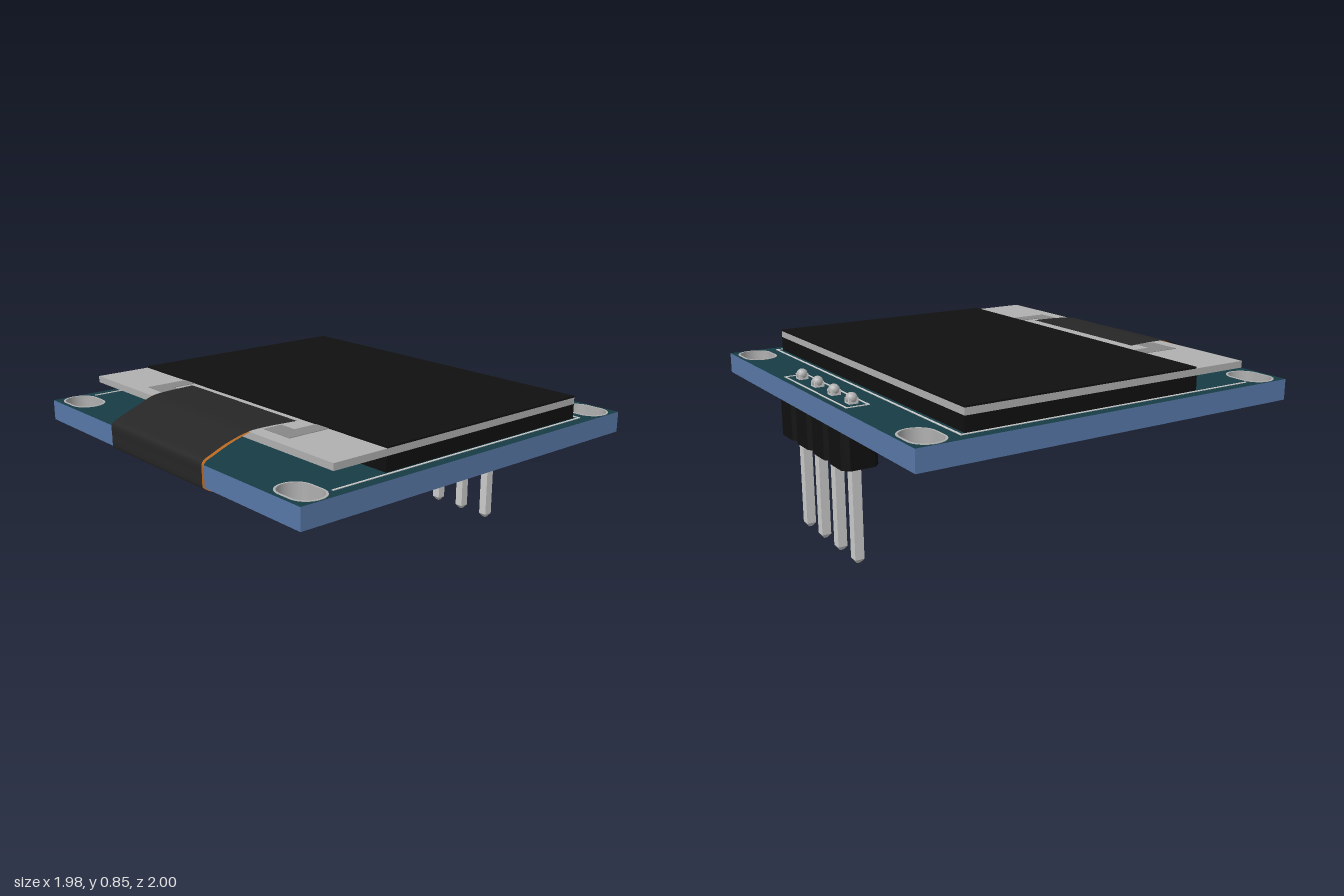
import * as THREE from 'three';

const mat = (color, extra = {}) => new THREE.MeshStandardMaterial({ color, ...extra });
const GREY = mat(0xcccccc), SILVER = mat(0xb0b0b0), BLACK = mat(0x101010), TEAL = mat(0x163c45);
const BLUE = mat(0x5878a8), ORANGE = mat(0xb5651d), TRACE = mat(0x888888);

function add(parent, name, geometry, material) {
  const mesh = new THREE.Mesh(geometry, material);
  mesh.name = name;
  parent.add(mesh);
  return mesh;
}

// Box given by its lower and upper limits
function box(parent, name, material, x0, x1, y0, y1, z0, z1) {
  const m = add(parent, name, new THREE.BoxGeometry(x1 - x0, y1 - y0, z1 - z0), material);
  m.position.set((x0 + x1) / 2, (y0 + y1) / 2, (z0 + z1) / 2);
  return m;
}

// Slot outline: two half circles joined by straight sides
function slot(path, cx, cy, hx, r) {
  path.absarc(cx + hx - r, cy, r, -Math.PI / 2, Math.PI / 2, false);
  path.absarc(cx - hx + r, cy, r, Math.PI / 2, Math.PI * 1.5, false);
  path.closePath();
  return path;
}

// Extrude a plan shape (drawn in x, -z) between two heights
function plate(parent, name, shape, y0, y1, material) {
  const g = new THREE.ExtrudeGeometry(shape, { depth: y1 - y0, bevelEnabled: false, curveSegments: 16 });
  g.rotateX(-Math.PI / 2);
  g.translate(0, y0, 0);
  return add(parent, name, g, material);
}

// Ribbon swept along points of (half width, y, z)
function ribbon(parent, name, points, material, extraWidth = 0) {
  const rows = new THREE.CatmullRomCurve3(points.map(p => new THREE.Vector3(...p))).getPoints(48);
  const pos = [], index = [], cols = 2;
  rows.forEach((p, i) => {
    for (let j = 0; j <= cols; j++) pos.push(-0.008 + (p.x + extraWidth) * (2 * j / cols - 1), p.y, p.z);
    if (i === 0) return;
    for (let j = 0; j < cols; j++) {
      const a = (i - 1) * (cols + 1) + j, b = a + cols + 1;
      index.push(a, b, b + 1, a, b + 1, a + 1);
    }
  });
  const g = new THREE.BufferGeometry();
  g.setAttribute('position', new THREE.Float32BufferAttribute(pos, 3));
  g.setIndex(index);
  g.computeVertexNormals();
  return add(parent, name, g, material);
}

export function createModel() {
  const root = new THREE.Group();
  root.name = 'displayModule';
  const group = name => {
    const g = new THREE.Group();
    g.name = name;
    root.add(g);
    return g;
  };

  // Circuit board with four slotted, metal-lined holes
  const board = group('circuitBoard');
  const outline = new THREE.Shape();
  outline.moveTo(-0.99, -0.985).lineTo(0.99, -0.985).lineTo(0.99, 1).lineTo(-0.99, 1).closePath();
  for (const sx of [-1, 1]) for (const z of [-0.9, 0.88]) {
    outline.holes.push(slot(new THREE.Path(), sx * 0.863, -z, 0.12, 0.085));
    const ring = slot(new THREE.Shape(), sx * 0.863, -z, 0.12, 0.085);
    ring.holes.push(slot(new THREE.Path(), sx * 0.863, -z, 0.11, 0.075));
    plate(board, 'holeLining', ring, 0.638, 0.742, SILVER);
  }
  plate(board, 'boardPlate', outline, 0.64, 0.74, [TEAL, BLUE]);

  // Printed outlines on the upper face
  const print = group('printedLines');
  const line = (x0, x1, z0, z1) => box(print, 'printedLine', GREY, x0, x1, 0.739, 0.743, z0, z1);
  line(-0.94, 0.938, -0.77, -0.76);
  line(-0.94, -0.93, -0.77, 0.78);
  line(0.928, 0.938, -0.77, 0.78);
  for (const z of [-0.97, -0.865]) line(-0.34, 0.335, z, z + 0.008);
  for (const x of [-0.34, 0.327]) line(x, x + 0.008, -0.97, -0.857);

  // Display: foam pad, glass with a bare ledge, dark film, faint electrodes
  const display = group('display');
  box(display, 'foamPad', BLACK, -0.92, 0.916, 0.74, 0.81, -0.74, 0.48);
  box(display, 'glass', SILVER, -0.92, 0.916, 0.81, 0.842, -0.74, 0.76);
  box(display, 'screenFilm', BLACK, -0.92, 0.916, 0.842, 0.85, -0.74, 0.475);
  for (const s of [-1, 1]) {
    const inner = s * 0.47, outer = s * 0.555, mid = s * 0.38;
    box(display, 'electrode', TRACE, Math.min(inner, outer), Math.max(inner, outer), 0.841, 0.844, 0.475, 0.595);
    box(display, 'electrode', TRACE, Math.min(mid, outer), Math.max(mid, outer), 0.841, 0.844, 0.595, 0.69);
  }

  // Flexible cable wrapping over the front edge to the underside
  const cable = group('flexCable');
  ribbon(cable, 'cableOuter', [
    [0.408, 0.852, 0.525], [0.392, 0.852, 0.68], [0.385, 0.847, 0.76], [0.372, 0.82, 0.85],
    [0.37, 0.785, 0.94], [0.37, 0.755, 0.995], [0.37, 0.7, 0.999], [0.37, 0.65, 0.998], [0.37, 0.638, 0.994]
  ], mat(0x262626, { side: THREE.DoubleSide }));
  const film = mat(0xb5651d, { side: THREE.DoubleSide });
  ribbon(cable, 'cableInner', [
    [0.385, 0.845, 0.765], [0.372, 0.812, 0.85], [0.37, 0.777, 0.935], [0.37, 0.75, 0.988],
    [0.37, 0.7, 0.992], [0.37, 0.645, 0.991]
  ], film, 0.006);
  ribbon(cable, 'cableUnderside', [
    [0.37, 0.645, 0.996], [0.38, 0.629, 0.975], [0.46, 0.624, 0.92], [0.6, 0.627, 0.84],
    [0.69, 0.631, 0.75], [0.712, 0.634, 0.68], [0.712, 0.637, 0.61]
  ], film);

  // Row of solder pads beneath
  const pads = group('cablePads');
  for (let i = 0; i < 30; i++) {
    const x = -0.7 + i * 0.0475;
    box(pads, 'cablePad', SILVER, x - 0.008, x + 0.008, 0.637, 0.641, 0.27, 0.63);
  }

  // Small chip parts beneath, each with two metal ends
  const chips = group('chipParts');
  const chip = (x, z, body, turn) => {
    const c = new THREE.Group();
    c.name = 'chipPart';
    box(c, 'chipBody', body, -0.026, 0.026, 0.611, 0.64, -0.036, 0.036);
    for (const s of [-1, 1])
      box(c, 'chipEnd', GREY, -0.028, 0.028, 0.609, 0.64, s * 0.045 - 0.011, s * 0.045 + 0.011);
    for (const s of [-1, 1])
      box(c, 'chipOutline', SILVER, s * 0.048 - 0.003, s * 0.048 + 0.003, 0.637, 0.641, -0.07, 0.07);
    c.position.set(x, 0, z);
    c.rotation.y = turn;
    chips.add(c);
  };
  for (let i = 0; i < 10; i++) chip(0.59 - i * 0.1465, -0.035, i < 3 || i > 6 ? ORANGE : BLACK, 0);
  chip(-0.01, 0.175, ORANGE, Math.PI / 2);

  // Four-way pin header with chamfered cells
  const header = group('pinHeader');
  for (let i = 0; i < 4; i++) {
    const x = -0.27 + i * 0.1767, h = 0.0885, c = 0.03;
    const cell = new THREE.Shape();
    [[-h, -h + c], [-h + c, -h], [h - c, -h], [h, -h + c], [h, h - c], [h - c, h], [-h + c, h], [-h, h - c]]
      .forEach(([a, b], k) => cell[k ? 'lineTo' : 'moveTo'](x + a, 0.91 + b));
    plate(header, 'headerCell', cell, 0.465, 0.64, BLACK);
    box(header, 'pin', GREY, x - 0.0225, x + 0.0225, 0.02, 0.765, -0.9325, -0.8875);
    const tip = add(header, 'pinTip', new THREE.CylinderGeometry(0.0318, 0.012, 0.02, 4).rotateY(Math.PI / 4), GREY);
    tip.position.set(x, 0.01, -0.91);
    const solder = add(header, 'solderBead', new THREE.SphereGeometry(0.027, 16, 10), SILVER);
    solder.position.set(x, 0.762, -0.91);
  }
  return root;
}
